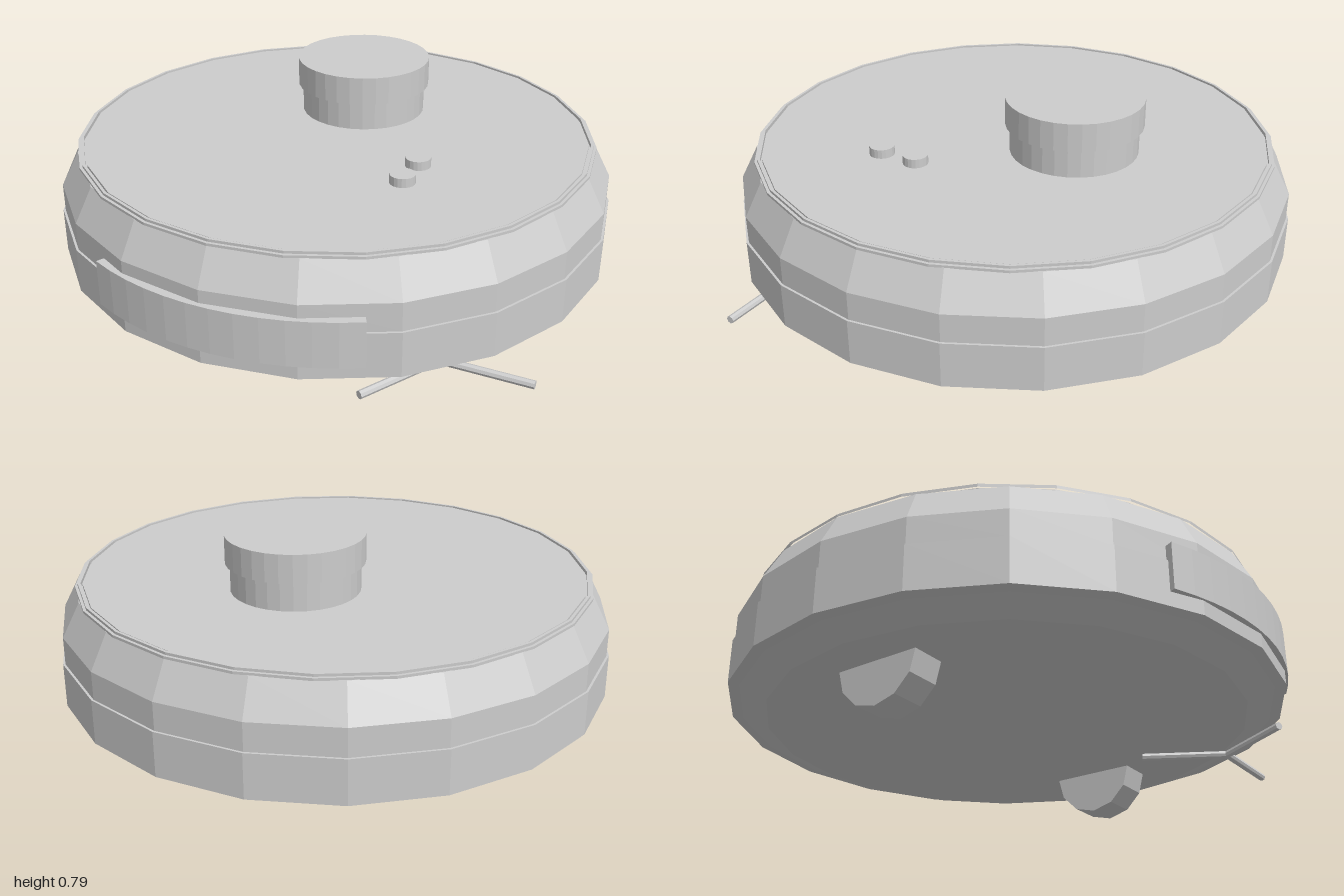
import * as THREE from 'three';

const shell = new THREE.MeshStandardMaterial({ color: 0xcccccc });
shell.name = 'light grey shell';
shell.flatShading = true;

function add(parent, name, geometry, x = 0, y = 0, z = 0) {
  const mesh = new THREE.Mesh(geometry, shell);
  mesh.name = name;
  mesh.position.set(x, y, z);
  parent.add(mesh);
  return mesh;
}

// Turned part from [radius, height] pairs listed bottom to top
const turned = (profile, sides) =>
  new THREE.LatheGeometry(profile.map(([r, y]) => new THREE.Vector2(r, y)), sides);

// Curved plate wrapped round the y axis, angles measured from +z towards +x
function curvedPlate(inner, outer, from, to, height) {
  const a = Math.PI / 2 - to, b = Math.PI / 2 - from;
  const shape = new THREE.Shape();
  shape.absarc(0, 0, outer, a, b, false);
  shape.absarc(0, 0, inner, b, a, true);
  return new THREE.ExtrudeGeometry(shape, { depth: height, bevelEnabled: false, curveSegments: 6 })
    .rotateX(Math.PI / 2);
}

export function createModel() {
  const model = new THREE.Group();
  model.name = 'robotVacuum';
  const cz = -0.004;

  // Round body with chamfered underside, side seam and sloped shoulder
  add(model, 'body', turned([
    [0, 0.155], [0.86, 0.155], [0.955, 0.195], [0.993, 0.2], [0.993, 0.357],
    [0.985, 0.357], [0.985, 0.455], [0.922, 0.575], [0, 0.575],
  ], 20), 0, 0, cz);

  // Lip round the top, with a shallow groove inside it
  add(model, 'topRim', turned([
    [0.925, 0.574], [0.925, 0.583], [0.915, 0.583], [0.915, 0.592],
    [0.905, 0.592], [0.905, 0.578], [0.89, 0.578],
  ], 24), 0, 0, cz);
  add(model, 'lid', new THREE.CylinderGeometry(0.898, 0.898, 0.02, 24), 0, 0.578, cz);

  // Front bumper panel
  const rad = THREE.MathUtils.degToRad;
  add(model, 'bumperPanel', curvedPlate(0.95, 1.002, rad(-25), rad(29.7), 0.16), 0, 0.41, cz);

  // Sensor turret
  const turret = new THREE.Group();
  turret.name = 'turret';
  turret.position.set(0, 0, -0.247);
  add(turret, 'turretBase', new THREE.CylinderGeometry(0.227, 0.227, 0.12, 32), 0, 0.63);
  add(turret, 'turretCap', new THREE.CylinderGeometry(0.243, 0.243, 0.1, 32), 0, 0.74);
  model.add(turret);

  // Buttons
  for (const z of [0.165, 0.307])
    add(model, 'button', new THREE.CylinderGeometry(0.044, 0.044, 0.04, 20), 0.38, 0.6, z);

  // Drive wheels, half sunk in the body
  for (const side of [-1, 1]) {
    const wheel = new THREE.CylinderGeometry(0.16, 0.16, 0.126, 12).rotateZ(Math.PI / 2);
    add(model, side > 0 ? 'leftWheel' : 'rightWheel', wheel, side * 0.647, 0.16, 0);
  }

  // Three-armed side brush
  const brush = new THREE.Group();
  brush.name = 'sideBrush';
  brush.position.set(0.62, 0.123, 0.567);
  for (let i = 0; i < 3; i++) {
    const arm = new THREE.CylinderGeometry(0.014, 0.014, 0.315, 8)
      .rotateZ(Math.PI / 2).translate(0.1575, 0, 0);
    add(brush, 'brushArm', arm).rotation.y = i * Math.PI * 2 / 3;
  }
  model.add(brush);

  return model;
}
